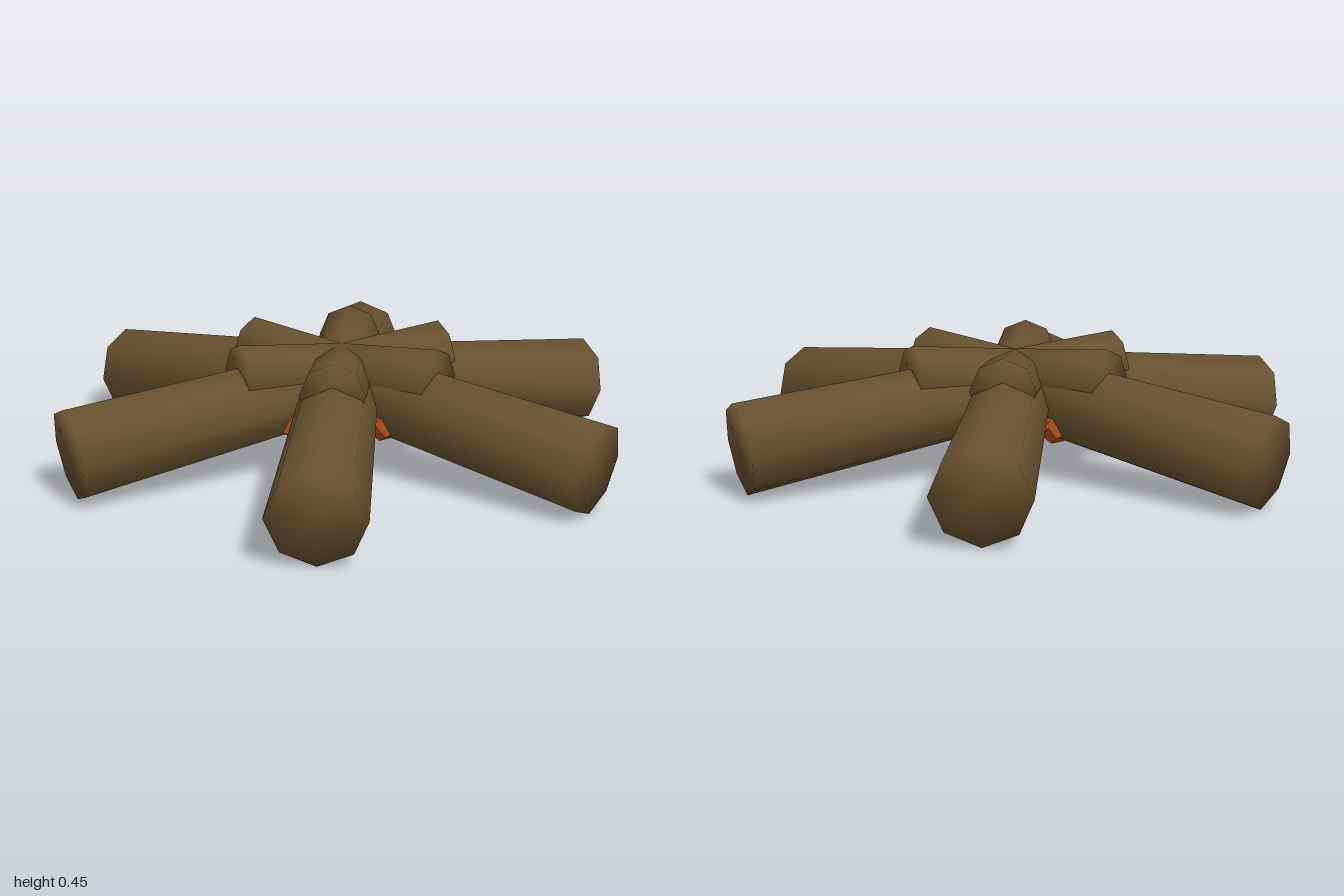
import * as THREE from 'three';
import { mergeVertices } from 'three/addons/utils/BufferGeometryUtils.js';

// Tapered eight-sided log running from the centre outward along +z, with softly shaded ends
function logGeometry(outerRadius, innerRadius, length, tilt) {
  let geo = new THREE.CylinderGeometry(outerRadius, innerRadius, length, 8);
  geo.deleteAttribute('uv');
  geo.deleteAttribute('normal');
  geo = mergeVertices(geo, 1e-4);
  geo.computeVertexNormals();
  geo.rotateX(Math.PI / 2);
  geo.translate(0, 0, length / 2);
  geo.rotateX(tilt);
  return geo;
}

export function createModel() {
  const model = new THREE.Group();
  model.name = 'campfire';

  const wood = new THREE.MeshStandardMaterial({ color: 0x665130 });
  wood.name = 'brown wood';
  const ember = new THREE.MeshStandardMaterial({ color: 0xb4521e, flatShading: true });
  ember.name = 'glowing orange';

  // Long logs slope down to the ground, short logs on top tilt slightly up
  const longLog = logGeometry(0.157, 0.13, 0.988, 0.129);
  const shortLog = logGeometry(0.11, 0.107, 0.39, -0.09);
  for (let i = 0; i < 6; i++) {
    const angle = (i * Math.PI) / 3;
    const lower = new THREE.Mesh(longLog, wood);
    lower.name = 'longLog';
    lower.position.y = 0.283;
    lower.rotation.y = angle;
    const upper = new THREE.Mesh(shortLog, wood);
    upper.name = 'shortLog';
    upper.position.y = 0.308;
    upper.rotation.y = angle;
    model.add(lower, upper);
  }

  // Ring of embers, two in every gap between the logs
  const chunk = new THREE.DodecahedronGeometry(0.08);
  for (let i = 0; i < 12; i++) {
    const angle = ((i + 0.5) * Math.PI) / 6;
    const coal = new THREE.Mesh(chunk, ember);
    coal.name = 'ember';
    coal.position.set(Math.sin(angle) * 0.23, 0.2, Math.cos(angle) * 0.23);
    coal.rotation.y = angle;
    model.add(coal);
  }
  return model;
}
